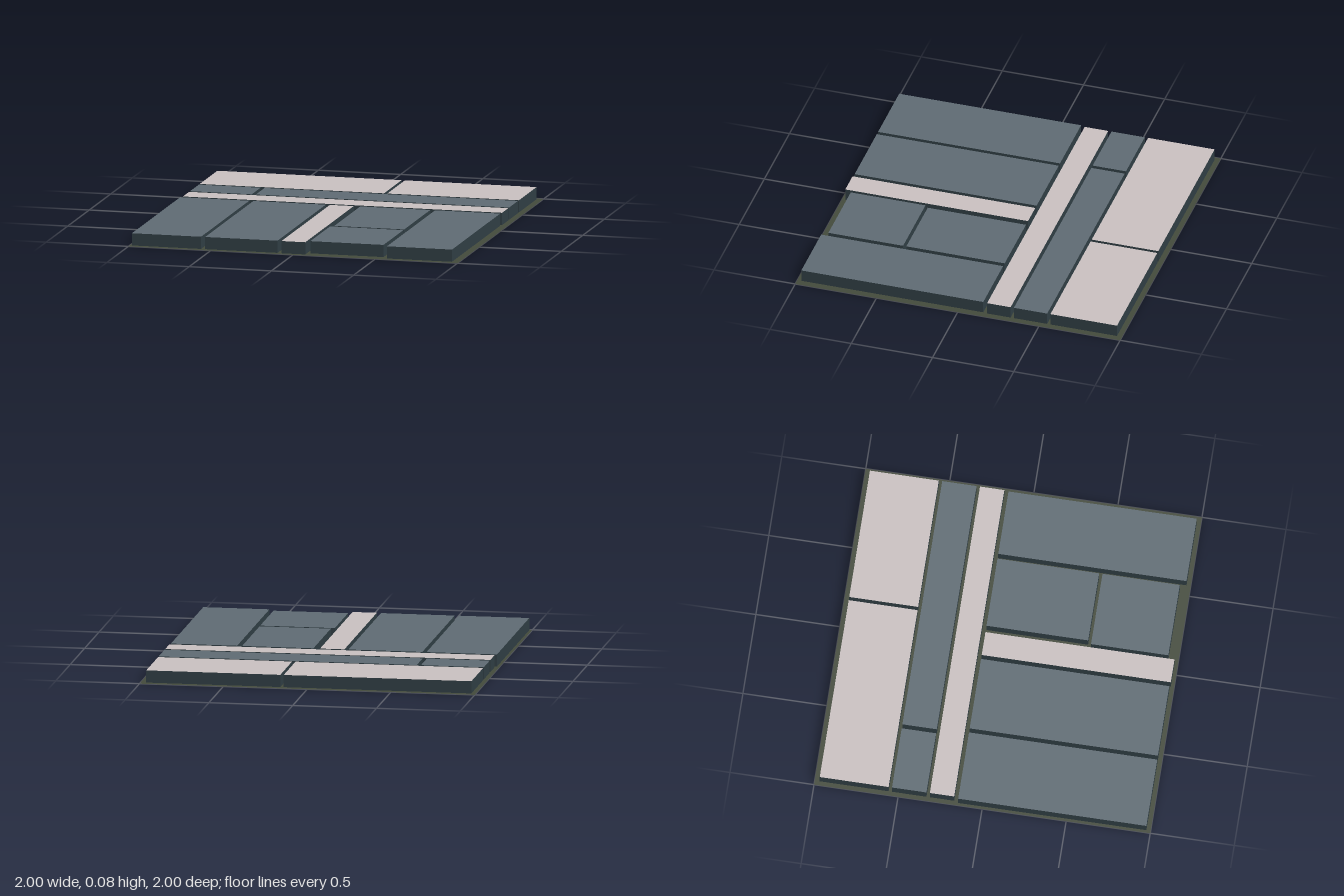
import * as THREE from 'three';

const HEIGHT = 0.075;

const slate = new THREE.MeshStandardMaterial({ name: 'slateTop', color: 0x5f6b73 });
const pale = new THREE.MeshStandardMaterial({ name: 'paleTop', color: 0xc9c0c0 });
const edge = new THREE.MeshStandardMaterial({ name: 'darkEdge', color: 0x303e44 });
const ground = new THREE.MeshStandardMaterial({ name: 'oliveGround', color: 0x434a3b, side: THREE.DoubleSide });

// Each slab: name, top material, x range, z range
const slabs = [
  ['backPaleSlabRight', pale, -0.975, 0.145, -0.97, -0.56],
  ['backPaleSlabLeft', pale, 0.165, 0.965, -0.97, -0.56],
  ['slateStripRight', slate, -0.975, -0.6, -0.54, -0.335],
  ['slateStripLeft', slate, -0.575, 0.965, -0.54, -0.335],
  ['paleCrossStrip', pale, -0.975, 0.965, -0.315, -0.17],
  ['outerRightSlab', slate, -0.985, -0.565, -0.145, 0.975],
  ['innerRightSlab', slate, -0.54, -0.1, -0.145, 0.975],
  ['paleCentreStrip', pale, -0.075, 0.07, -0.145, 0.98],
  ['innerLeftSlabBack', slate, 0.11, 0.535, -0.145, 0.46],
  ['innerLeftSlabFront', slate, 0.09, 0.535, 0.48, 0.94],
  ['outerLeftSlab', slate, 0.565, 0.96, -0.145, 0.975],
];

export function createModel() {
  const model = new THREE.Group();
  model.name = 'pavingPanel';

  // Flat ground sheet showing through the joints
  const sheet = new THREE.Mesh(new THREE.PlaneGeometry(2, 2).rotateX(-Math.PI / 2), ground);
  sheet.name = 'groundSheet';
  model.add(sheet);

  // Slabs with coloured tops and dark sides, just clear of the sheet
  for (const [name, top, x0, x1, z0, z1] of slabs) {
    const geometry = new THREE.BoxGeometry(x1 - x0, HEIGHT - 0.002, z1 - z0);
    const slab = new THREE.Mesh(geometry, [edge, edge, top, edge, edge, edge]);
    slab.name = name;
    slab.position.set((x0 + x1) / 2, HEIGHT / 2 + 0.001, (z0 + z1) / 2);
    model.add(slab);
  }
  return model;
}
